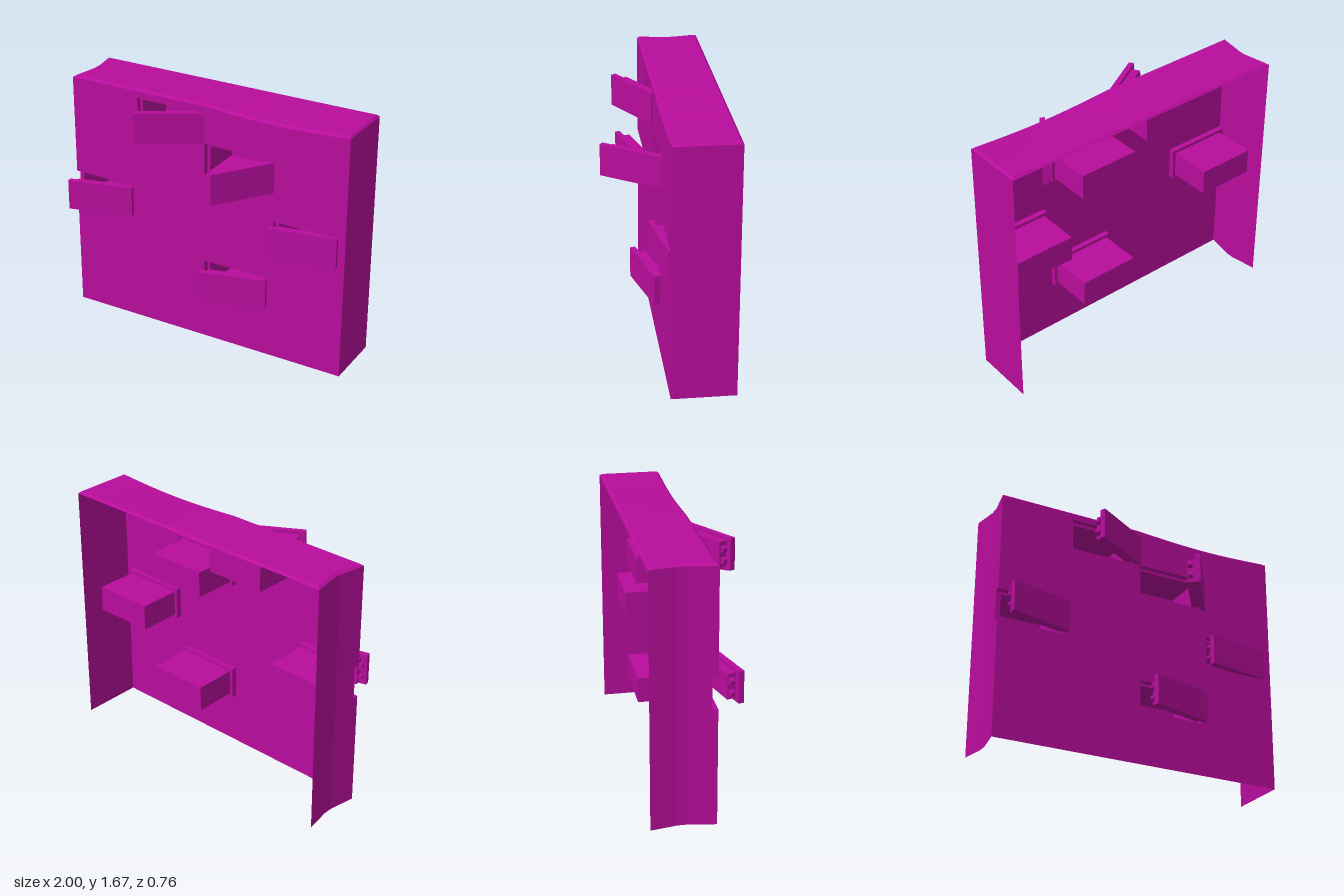
import * as THREE from 'three';

const material = new THREE.MeshStandardMaterial({ color: 0xb80d9c, side: THREE.DoubleSide, flatShading: true });
const FRONT = 0.03, BACK = -0.38, EDGE_Y = 1.655, TOP_Y = 1.668;
const REBATE_Z = -0.005, BOX_Z = -0.285;
const OPEN_W = 0.45, OPEN_H = 0.213, LIP = 0.021;
const DOOR_W = 0.443, DOOR_H = 0.206, SLAB = 0.035, PLUG = 0.055;

// Opening corner (x, y); door hinge-side front corner (hx, hz), door bottom and swing in degrees
const lockers = [
  { x: -0.5, y: 1.4, hx: 0.003, hz: 0.038, doorY: 1.405, swing: 30 },
  { x: 0, y: 1.188, hx: 0.505, hz: 0.022, doorY: 1.18, swing: 55 },
  { x: -1, y: 0.77, hx: -0.53, hz: 0.078, doorY: 0.778, swing: 15, atEdge: true },
  { x: 0.5, y: 0.77, hx: 0.945, hz: 0.037, doorY: 0.77, swing: 10 },
  { x: 0, y: 0.355, hx: 0.475, hz: 0.07, doorY: 0.363, swing: 15 },
];

const zSteps = [FRONT, 0.015, REBATE_Z, -0.15, -0.21, -0.365, BACK];
const xSteps = [0, 0.008, ...Array.from({ length: 23 }, (_, i) => (i + 1) / 24), 0.992, 1];

// Sag of the top edge, strongest at the front
const sag = (x, z) => (x > 0 && x < 1 ? 0.022 * Math.sin(Math.PI * x) * (z - BACK) / (FRONT - BACK) : 0);
// The right-hand wall is pinched inwards along its middle
const pinchX = (z) => -1 + 0.03 * Math.min(1, z > -0.18 ? (FRONT - z) / 0.18 : (z - BACK) / 0.17);

// Surface from a grid of points, with optional skipped cells
function grid(nu, nv, point, skip = () => false) {
  const pos = [];
  for (let i = 0; i < nu; i++) for (let j = 0; j < nv; j++) {
    if (skip(i, j)) continue;
    const a = point(i, j), b = point(i + 1, j), c = point(i + 1, j + 1), d = point(i, j + 1);
    pos.push(...a, ...b, ...c, ...a, ...c, ...d);
  }
  const g = new THREE.BufferGeometry();
  g.setAttribute('position', new THREE.Float32BufferAttribute(pos, 3));
  g.computeVertexNormals();
  return g;
}

function add(parent, name, geometry, x = 0, y = 0, z = 0) {
  const m = new THREE.Mesh(geometry, material);
  m.name = name;
  m.position.set(x, y, z);
  parent.add(m);
  return m;
}

// Front panel with an opening for each locker; one opening notches the edge
function frontPanel() {
  const shape = new THREE.Shape();
  shape.moveTo(-1, 0);
  shape.lineTo(1, 0);
  for (const t of [...xSteps].reverse()) {
    const x = t * 2 - 1;
    shape.lineTo(x, EDGE_Y - sag(x, FRONT));
  }
  for (const { x, y, atEdge } of lockers) {
    const corners = [[x, y + OPEN_H], [x + OPEN_W, y + OPEN_H], [x + OPEN_W, y], [x, y]];
    if (atEdge) corners.forEach((c) => shape.lineTo(...c));
    else shape.holes.push(new THREE.Path(corners.map((c) => new THREE.Vector2(...c))));
  }
  return new THREE.ShapeGeometry(shape);
}

// Rebated compartment, closed at the back
function compartment({ x, y, atEdge }) {
  const ring = (inset, z, flat) => {
    const x0 = inset && atEdge ? -0.967 : x + inset, x1 = x + OPEN_W - inset;
    const y0 = y + inset, y1 = flat ? y0 : y + OPEN_H - inset;
    return [[x0, y0, z], [x1, y0, z], [x1, y1, z], [x0, y1, z]];
  };
  const rings = [ring(0, FRONT), ring(0, REBATE_Z), ring(LIP, REBATE_Z), ring(LIP, BOX_Z), ring(LIP, BOX_Z, true)];
  return grid(4, 4, (i, j) => rings[i][j % 4], (i, j) => atEdge && i === 0 && j === 3);
}

// Swung-open door: front slab, thinner plug behind it and two rounded bolts
function door({ hx, hz, doorY, swing }) {
  const g = new THREE.Group();
  g.name = 'door';
  g.position.set(hx, doorY + DOOR_H / 2, hz);
  g.rotation.y = THREE.MathUtils.degToRad(swing);
  add(g, 'doorSlab', new THREE.BoxGeometry(DOOR_W, DOOR_H, SLAB), -DOOR_W / 2, 0, -SLAB / 2);
  const plugW = DOOR_W - 0.06;
  add(g, 'doorPlug', new THREE.BoxGeometry(plugW, DOOR_H - 0.042, PLUG), -0.02 - plugW / 2, 0, -SLAB - PLUG / 2);
  for (const s of [-1, 1]) {
    const bolt = new THREE.CylinderGeometry(0.02, 0.02, 0.03, 16).rotateX(Math.PI / 2);
    add(g, 'bolt', bolt, -DOOR_W + 0.03, s * 0.038, -SLAB - 0.032);
  }
  return g;
}

export function createModel() {
  const model = new THREE.Group();
  model.name = 'lockerWall';

  add(model, 'frontPanel', frontPanel(), 0, 0, FRONT);

  // Top with a narrow bevel all round
  const nx = xSteps.length - 1, nz = zSteps.length - 1;
  add(model, 'topPanel', grid(nx, nz, (i, j) => {
    const z = zSteps[j], x0 = pinchX(z), x = x0 + (1 - x0) * xSteps[i];
    const rim = i === 0 || i === nx || j === 0 || j === nz;
    return [x, (rim ? EDGE_Y : TOP_Y) - sag(xSteps[i] * 2 - 1, z), z];
  }));

  // Side walls; the right one is cut where the edge opening meets it
  const edge = lockers.find((l) => l.atEdge);
  const ys = [0, edge.y, edge.y + OPEN_H, EDGE_Y];
  add(model, 'rightWall', grid(nz, 3, (i, j) => [pinchX(zSteps[i]), ys[j], zSteps[i]],
    (i, j) => j === 1 && i < 2));
  add(model, 'leftWall', grid(1, 1, (i, j) => [1, j * EDGE_Y, i ? BACK : FRONT]));

  for (const l of lockers) {
    add(model, 'compartment', compartment(l));
    model.add(door(l));
  }
  return model;
}
